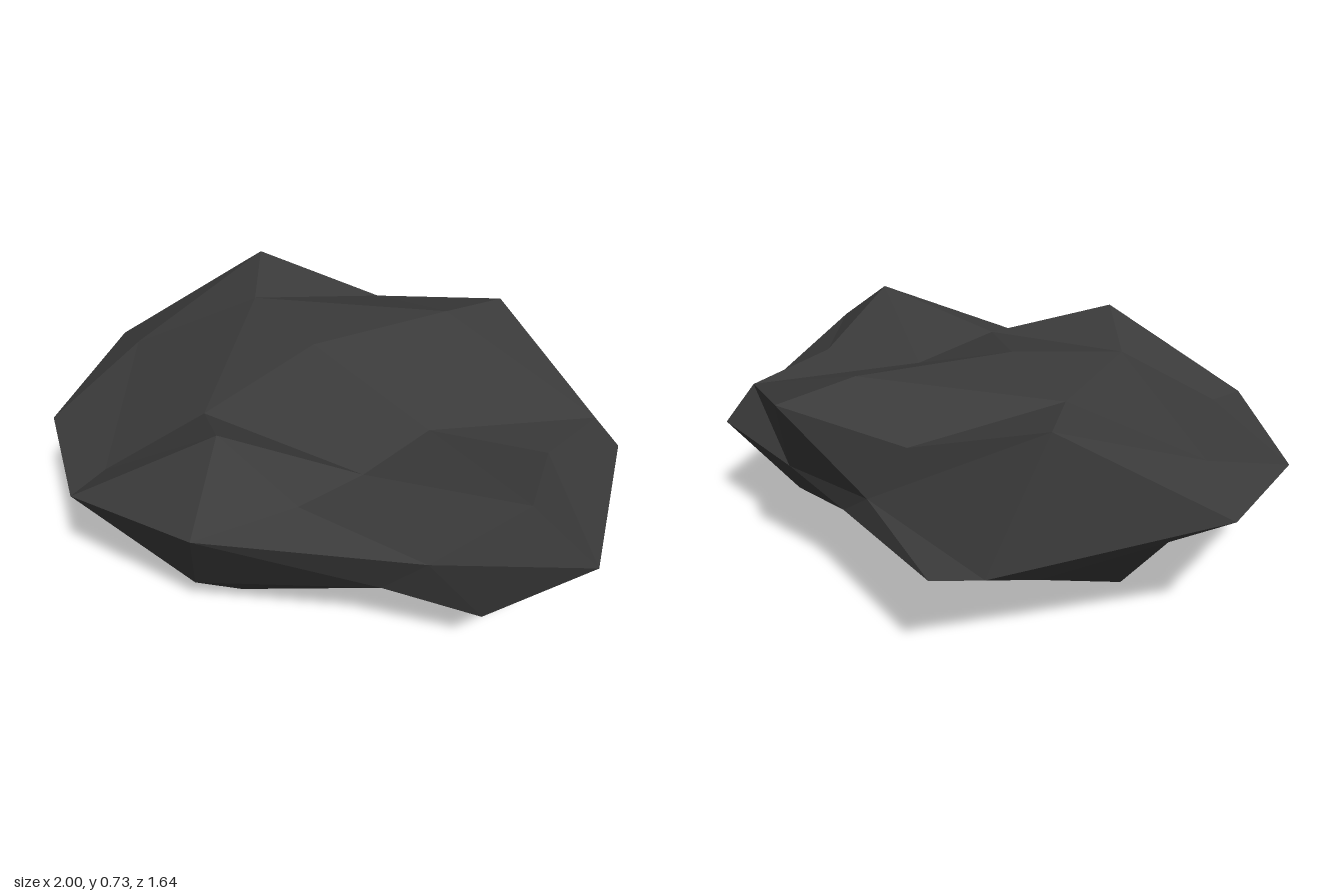
import * as THREE from 'three';

// Cross-section loops from the crown down, each running from +x round through +z
const crown = [-0.11, 0.72, -0.02];
const plateau = [[0.34, 0.56, 0.06], [0.26, 0.595, 0.4], [-0.3, 0.64, 0.38], [-0.45, 0.7, -0.24], [0.2, 0.7, -0.44]];
const shoulder = [
  [0.72, 0.55, 0], [0.79, 0.675, 0.42], [0.12, 0.54, 0.56], [-0.14, 0.73, 0.57], [-0.57, 0.46, 0.57],
  [-0.83, 0.53, -0.04], [-0.57, 0.73, -0.51], [-0.13, 0.6, -0.6], [0.32, 0.655, -0.68], [0.79, 0.5, -0.32],
];
const rim = [
  [1, 0.52, 0.42], [0.54, 0.47, 0.56], [-0.1, 0.525, 0.82], [-0.6, 0.45, 0.72], [-0.95, 0.4, 0.34],
  [-1, 0.44, -0.19], [-0.45, 0.29, -0.66], [0, 0.41, -0.64], [0.46, 0.34, -0.5], [0.87, 0.36, -0.39],
];
const underside = [
  [0.68, 0.21, 0.44], [0.39, 0.31, 0.55], [-0.24, 0.13, 0.61], [-0.5, 0.19, 0.45], [-0.81, 0.33, -0.18],
  [-0.53, 0.24, -0.5], [-0.37, 0.34, -0.82], [0.135, 0.315, -0.6], [0.62, 0.13, -0.3], [0.74, 0.125, -0.13],
];
const base = [[0.28, 0.15, -0.21], [-0.15, 0.015, 0.47], [-0.55, 0, -0.02], [0.08, 0.04, -0.06]];

// Joins two loops with triangles; each step advances the upper (u) or lower (l) loop
function stitch(out, upper, lower, steps) {
  let u = 0, l = 0;
  for (const step of steps) {
    const a = upper[u % upper.length], b = lower[l % lower.length];
    if (step === 'u') out.push(a, upper[++u % upper.length], b);
    else out.push(a, lower[++l % lower.length], b);
  }
}

export function createModel() {
  const stone = new THREE.MeshStandardMaterial({ color: 0x3b3b3b, flatShading: true });
  stone.name = 'darkStone';

  const corners = [];
  // Top fan around the crown
  plateau.forEach((p, i) => corners.push(crown, plateau[(i + 1) % plateau.length], p));
  // Sides
  stitch(corners, plateau, shoulder, 'lul'.repeat(5));
  stitch(corners, shoulder, rim, 'ul'.repeat(6) + 'luul' + 'ul'.repeat(2));
  stitch(corners, rim, underside, 'ul'.repeat(10));
  stitch(corners, underside, base, 'ulu'.repeat(4) + 'uu');
  // Bottom faces
  const [right, front, left, back] = base;
  corners.push(back, right, front, back, front, left);

  const geometry = new THREE.BufferGeometry();
  geometry.setAttribute('position', new THREE.Float32BufferAttribute(corners.flat(), 3));
  geometry.computeVertexNormals();

  const rock = new THREE.Mesh(geometry, stone);
  rock.name = 'rock';
  const group = new THREE.Group();
  group.name = 'boulder';
  group.add(rock);
  return group;
}
